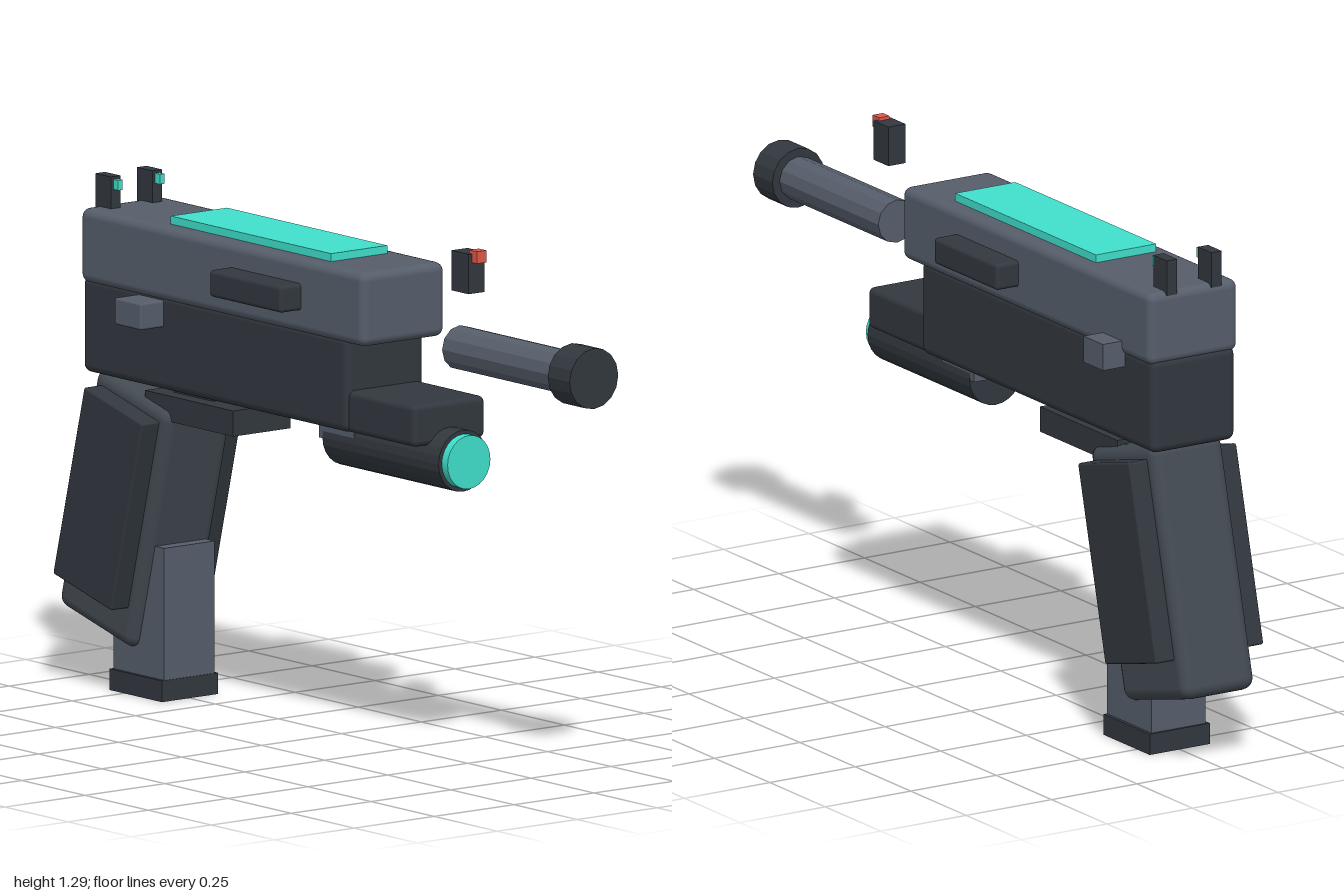
import * as THREE from 'three';
import { RoundedBoxGeometry } from 'three/addons/geometries/RoundedBoxGeometry.js';

const mat = (color) => new THREE.MeshStandardMaterial({ color });

export function createModel() {
  const model = new THREE.Group();
  model.name = 'pistol';
  const steel = mat(0x565e6b), dark = mat(0x32383f), gripGrey = mat(0x434a52);
  const teal = mat(0x40e0cc), red = mat(0xe0584a);
  const facetedSteel = steel.clone(), facetedDark = dark.clone();
  facetedSteel.flatShading = facetedDark.flatShading = true;

  const add = (name, geometry, material, x, y, z, parent = model) => {
    const mesh = new THREE.Mesh(geometry, material);
    mesh.name = name;
    mesh.position.set(x, y, z);
    parent.add(mesh);
    return mesh;
  };
  // Box given by its limits on each axis; a radius rounds the edges
  const block = (name, material, [x0, x1], [y0, y1], [z0, z1], radius = 0) => {
    const size = [x1 - x0, y1 - y0, z1 - z0];
    const geometry = radius
      ? new RoundedBoxGeometry(...size, 3, radius)
      : new THREE.BoxGeometry(...size);
    return add(name, geometry, material, (x0 + x1) / 2, (y0 + y1) / 2, (z0 + z1) / 2);
  };
  // Cylinder lying along z
  const rod = (name, material, radius, y, z0, z1, sides) => add(name,
    new THREE.CylinderGeometry(radius, radius, z1 - z0, sides).rotateX(Math.PI / 2),
    material, 0, y, (z0 + z1) / 2);

  // Slide, frame and front of the frame
  block('slide', steel, [-0.13, 0.13], [1.015, 1.2], [-0.875, 0.25], 0.022);
  block('frame', dark, [-0.122, 0.122], [0.79, 1.03], [-0.875, 0.175], 0.02);
  block('dustCover', dark, [-0.112, 0.112], [0.79, 0.895], [0.05, 0.43], 0.015);
  block('topStrip', teal, [-0.088, 0.088], [1.19, 1.22], [-0.565, 0.07]);

  // Barrel and muzzle
  rod('barrel', facetedSteel, 0.055, 1.035, 0.468, 0.95, 12);
  rod('muzzle', facetedDark, 0.076, 1.035, 0.913, 1, 16);

  // Sights
  block('frontSight', dark, [-0.025, 0.025], [1.18, 1.28], [0.468, 0.535]);
  block('frontSightDot', red, [-0.015, 0.015], [1.258, 1.288], [0.525, 0.555]);
  for (const x of [-0.065, 0.065]) {
    block('rearSight', dark, [x - 0.015, x + 0.015], [1.19, 1.28], [-0.873, -0.812]);
    block('rearSightDot', teal, [x - 0.007, x + 0.007], [1.248, 1.273], [-0.82, -0.793]);
  }

  // Side ribs and controls
  for (const s of [-1, 1]) {
    const x = [0.1 * s, 0.194 * s].sort((a, b) => a - b);
    block('sideRib', dark, x, [1.073, 1.14], [-0.28, 0.005], 0.01);
  }
  block('rightButton', steel, [-0.194, -0.1], [0.948, 1.015], [-0.655, -0.55], 0.006);
  block('leftLever', steel, [0.1, 0.186], [0.985, 1.052], [-0.748, -0.66]);

  // Light under the barrel
  rod('light', facetedDark, 0.077, 0.753, 0.022, 0.482, 24);
  rod('lightLens', teal, 0.067, 0.753, 0.47, 0.505, 24);
  block('lightMount', steel, [-0.075, 0.075], [0.75, 0.8], [0.005, 0.145]);

  // Trigger guard plate and its block
  block('guardPlate', dark, [-0.09, 0.09], [0.706, 0.77], [-0.665, -0.315]);
  block('guardBlock', dark, [-0.05, 0.05], [0.76, 0.8], [-0.6, -0.445]);

  // Leaning grip with a panel on each side
  const grip = new THREE.Group();
  grip.name = 'grip';
  grip.position.set(0, 0.459, -0.775);
  grip.rotation.x = 0.25;
  model.add(grip);
  add('gripBody', new RoundedBoxGeometry(0.21, 0.635, 0.305, 3, 0.03), gripGrey, 0, 0, 0, grip);
  for (const s of [-1, 1]) {
    add('gripPanel', new RoundedBoxGeometry(0.06, 0.5, 0.24, 2, 0.006), dark,
      0.128 * s, 0.033, 0, grip);
  }

  // Magazine
  block('magazine', steel, [-0.079, 0.079], [0.05, 0.383], [-0.802, -0.602]);
  block('magazineBase', dark, [-0.088, 0.088], [0, 0.053], [-0.808, -0.6]);

  return model;
}
